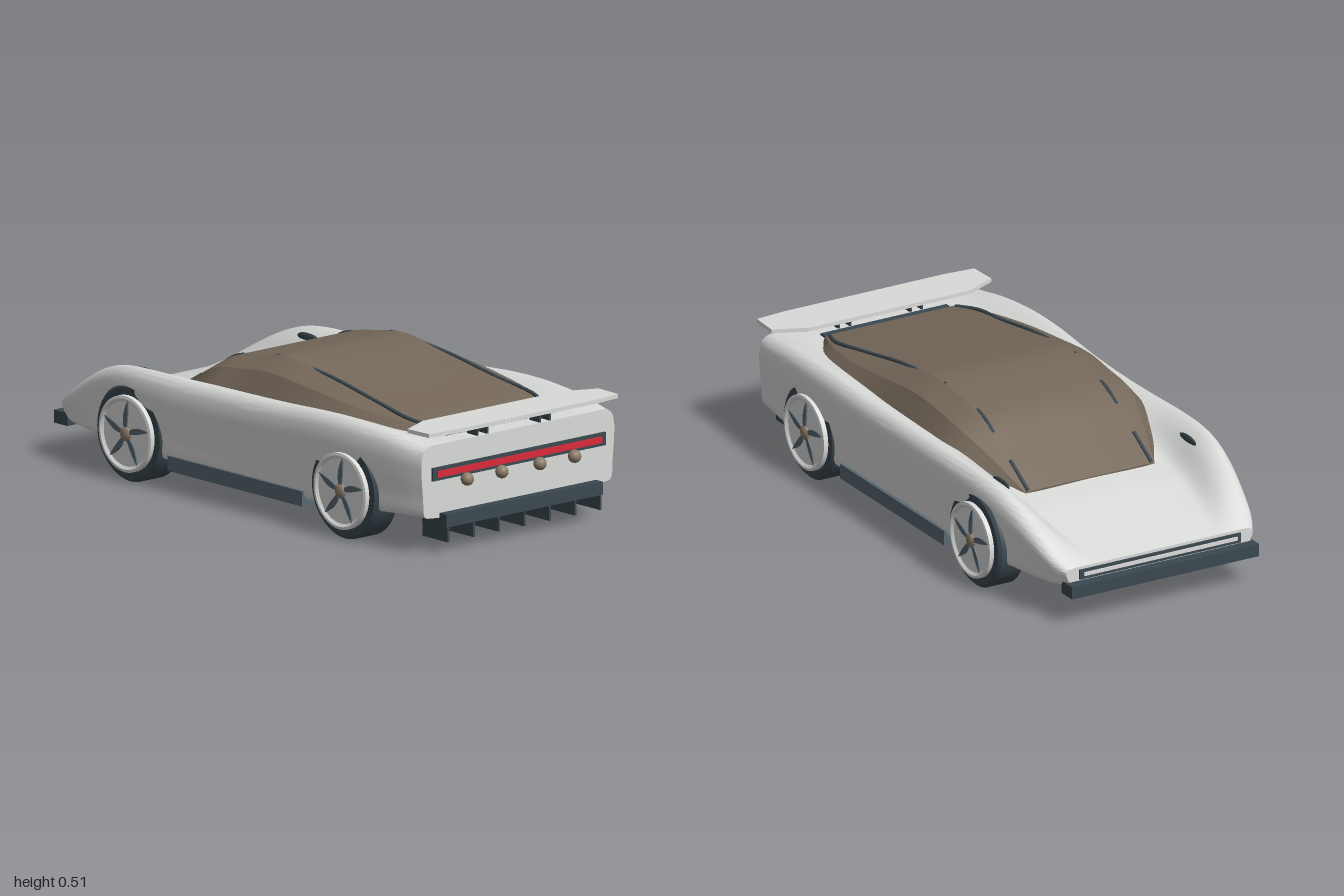
import * as THREE from 'three';
import { toCreasedNormals } from 'three/addons/utils/BufferGeometryUtils.js';

const mat = (name, color) => Object.assign(new THREE.MeshStandardMaterial({ color }), { name });

// Skins half-sections (bottom centre to top centre, at rising z), mirrored in x.
function loft(sections, steps, around, crease) {
  const rails = sections[0].map((_, j) =>
    new THREE.CatmullRomCurve3(sections.map((s) => s[j]), false, 'centripetal'));
  const pos = [], idx = [];
  let n = 0;
  for (let i = 0; i <= steps; i++) {
    let half = rails.map((r) => r.getPoint(i / steps));
    if (around) half = new THREE.CatmullRomCurve3(half, false, 'centripetal').getPoints(around);
    const mirror = half.slice(1, -1).reverse().map((p) => new THREE.Vector3(-p.x, p.y, p.z));
    const ring = [...half, ...mirror];
    n = ring.length;
    ring.forEach((p) => pos.push(p.x, p.y, p.z));
  }
  for (let i = 0; i < steps; i++) {
    for (let j = 0; j < n; j++) {
      const a = i * n + j, b = i * n + (j + 1) % n;
      idx.push(a, b, a + n, b, b + n, a + n);
    }
  }
  // End caps, as strips across the mirrored halves
  const h = n / 2, end = steps * n;
  for (let j = 0; j < h; j++) {
    const l = (n - j) % n, l2 = n - j - 1;
    idx.push(j, l, j + 1, l, l2, j + 1);
    idx.push(end + j, end + j + 1, end + l, end + l, end + j + 1, end + l2);
  }
  const g = new THREE.BufferGeometry();
  g.setAttribute('position', new THREE.Float32BufferAttribute(pos, 3));
  g.setIndex(idx);
  return toCreasedNormals(g, crease);
}

export function createModel() {
  const car = new THREE.Group();
  car.name = 'sportsCar';
  const white = mat('bodyWhite', 0xd9dbd9);
  const glass = mat('brownGlass', 0x75685a);
  const dark = mat('darkSlate', 0x3b4850);
  const slate = mat('skirtSlate', 0x586872);
  const red = mat('lightRed', 0xdc2a3a);
  const bronze = mat('bronze', 0x8c7b69);

  const add = (name, geo, material, parent = car) => {
    const m = new THREE.Mesh(geo, material);
    m.name = name;
    parent.add(m);
    return m;
  };
  const box = (name, material, [x0, x1], [y0, y1], [z0, z1]) => {
    const m = add(name, new THREE.BoxGeometry(x1 - x0, y1 - y0, z1 - z0), material);
    m.position.set((x0 + x1) / 2, (y0 + y1) / 2, (z0 + z1) / 2);
    return m;
  };
  const V = (x, y, z) => new THREE.Vector3(x, y, z);

  // Body: z, half width, floor, fender top, centre height
  const body = [
    [-0.96, 0.37, 0.14, 0.2, 0.192], [-0.9, 0.4, 0.128, 0.238, 0.208],
    [-0.8, 0.425, 0.122, 0.302, 0.232], [-0.7, 0.443, 0.12, 0.355, 0.255],
    [-0.6, 0.457, 0.115, 0.388, 0.278], [-0.5, 0.466, 0.11, 0.4, 0.293],
    [-0.35, 0.469, 0.1, 0.402, 0.325], [-0.18, 0.465, 0.09, 0.4, 0.36],
    [0, 0.462, 0.085, 0.4, 0.372], [0.22, 0.464, 0.085, 0.405, 0.375],
    [0.45, 0.47, 0.092, 0.418, 0.376], [0.62, 0.47, 0.105, 0.418, 0.378],
    [0.8, 0.46, 0.12, 0.405, 0.38], [0.9, 0.45, 0.125, 0.39, 0.38],
    [0.96, 0.44, 0.125, 0.383, 0.379],
  ].map(([z, w, b, t, c]) => {
    const h = t - b, d = t - c;
    return [[0, b], [w * 0.5, b], [w - 0.05, b + 0.015 * h], [w - 0.015, b + 0.05 * h],
      [w - 0.007, b + 0.3 * h], [w, b + 0.62 * h], [w, b + 0.8 * h], [w - 0.01, t - 0.07 * h],
      [w - 0.035, t], [w - 0.08, t - 0.2 * d], [w - 0.15, c + 0.12 * d], [w - 0.2, c], [0, c],
    ].map(([x, y]) => V(x, y, z));
  });
  add('body', loft(body, 70, 48, 0.7), white);

  // Canopy: z, roof height, roof half width, shoulder x and y, sill x and y
  const roof = [
    [-0.5, 0.297, 0.25, 0.257, 0.293, 0.262, 0.28], [-0.35, 0.385, 0.255, 0.3, 0.375, 0.335, 0.34],
    [-0.2, 0.468, 0.26, 0.34, 0.44, 0.388, 0.385], [-0.05, 0.5, 0.26, 0.342, 0.462, 0.394, 0.385],
    [0.08, 0.515, 0.265, 0.345, 0.472, 0.394, 0.385], [0.3, 0.485, 0.265, 0.345, 0.452, 0.394, 0.385],
    [0.5, 0.45, 0.27, 0.34, 0.43, 0.39, 0.385], [0.7, 0.42, 0.26, 0.305, 0.41, 0.35, 0.375],
    [0.82, 0.4, 0.25, 0.262, 0.395, 0.275, 0.37],
  ];
  add('canopy', loft(roof.map(([z, h, wt, wm, ym, wb, yb]) =>
    [V(0, yb, z), V(wb, yb, z), V(wm, ym, z), V(wt, h, z), V(0, h, z)]), 32, 0, 0.35), glass);
  const roofY = (z) => {
    const i = Math.max(1, roof.findIndex((r) => r[0] >= z));
    const [a, b] = [roof[i - 1], roof[i]];
    return a[1] + (b[1] - a[1]) * (z - a[0]) / (b[0] - a[0]);
  };

  for (const s of [-1, 1]) {
    // Dark trim lines along the canopy
    [[[0.245, -0.5], [0.245, -0.44], [0.245, -0.38]], [[0.245, -0.27], [0.245, -0.21], [0.245, -0.16]],
      [[0.258, 0.02], [0.264, 0.3], [0.272, 0.55], [0.28, 0.72], [0.25, 0.81]],
    ].forEach((line) => {
      const path = new THREE.CatmullRomCurve3(line.map(([x, z]) => V(s * x, roofY(z), z)));
      add('canopyTrim', new THREE.TubeGeometry(path, 24, 0.007, 8), dark);
    });
    // Fender slits
    const slit = add('fenderSlit', new THREE.SphereGeometry(1, 12, 8), dark);
    slit.scale.set(0.006, 0.016, 0.055);
    slit.position.set(s * 0.371, 0.368, -0.53);
    // Side skirts
    const skirt = s > 0 ? [0.41, 0.468] : [-0.468, -0.41];
    box('sideSkirt', slate, skirt, [0.077, 0.13], [-0.31, 0.38]);
    // Wing struts
    for (const x of [0.12, 0.165]) {
      box('wingStrut', dark, [s * x - 0.004, s * x + 0.004], [0.37, 0.426], [0.89, 0.94]);
    }
  }

  // Wheels
  const tyre = [[0, 0.362], [0.155, 0.362], [0.17, 0.37], [0.17, 0.458], [0.16, 0.468], [0.12, 0.468]];
  const rim = [[0.134, 0.44], [0.134, 0.485], [0.124, 0.487], [0.114, 0.479], [0, 0.479]];
  const turned = (pts) => toCreasedNormals(
    new THREE.LatheGeometry(pts.map(([x, y]) => new THREE.Vector2(x, y)), 48), 0.5).rotateZ(-Math.PI / 2);
  const blade = new THREE.Shape();
  blade.moveTo(-0.005, 0.018);
  blade.quadraticCurveTo(-0.022, 0.06, 0.012, 0.118);
  blade.quadraticCurveTo(0.016, 0.07, 0.005, 0.018);
  for (const side of [0, Math.PI]) {
    for (const z of [-0.51, 0.59]) {
      const wheel = new THREE.Group();
      wheel.name = 'wheel';
      wheel.position.set(0, 0.172, z);
      wheel.rotation.y = side;
      car.add(wheel);
      add('tyre', turned(tyre), dark, wheel);
      add('rim', turned(rim), white, wheel);
      for (let i = 0; i < 5; i++) {
        const g = new THREE.ExtrudeGeometry(blade, { depth: 0.006, bevelEnabled: false });
        g.rotateZ(i * Math.PI * 0.4).rotateY(Math.PI / 2);
        add('spoke', g, slate, wheel).position.x = 0.478;
      }
      const hub = add('hub', new THREE.SphereGeometry(0.026, 20, 12), bronze, wheel);
      hub.scale.x = 0.5;
      hub.position.x = 0.48;
      add('brakeDrum', turned([[0.05, 0.275], [0.06, 0.255], [0.085, 0.255], [0.104, 0.275], [0.104, 0.37]]),
        bronze, wheel);
      add('drumCentre', turned([[0, 0.27], [0.06, 0.27]]), dark, wheel);
    }
  }

  // Tail: light bar, round lamps, diffuser and fins
  box('lightPanel', dark, [-0.395, 0.395], [0.26, 0.306], [0.955, 0.968]);
  box('lightStrip', red, [-0.375, 0.375], [0.271, 0.294], [0.966, 0.972]);
  for (const x of [-0.245, -0.087, 0.087, 0.245]) {
    add('tailLamp', new THREE.SphereGeometry(0.023, 24, 16), bronze).position.set(x, 0.247, 0.976);
  }
  box('diffuser', dark, [-0.357, 0.357], [0.097, 0.143], [0.87, 0.995]);
  for (let i = -3; i <= 3; i++) {
    const x = i * 0.116;
    box('diffuserFin', dark, [x - 0.004, x + 0.004], [0.045, 0.1], [0.865, 0.995]);
  }
  box('deckVent', dark, [-0.25, 0.25], [0.37, 0.388], [0.82, 0.87]);

  // Wing with swept tips
  const plan = new THREE.Shape([[-0.32, 0.832], [0.32, 0.832], [0.437, 0.885], [0.432, 0.99],
    [0.32, 1], [-0.32, 1], [-0.432, 0.99], [-0.437, 0.885]].map(([x, y]) => new THREE.Vector2(x, y)));
  const wing = new THREE.ExtrudeGeometry(plan, { depth: 0.014, bevelEnabled: false }).rotateX(Math.PI / 2);
  add('wing', wing, white).position.y = 0.437;

  // Nose: bumper and slot
  box('noseBumper', dark, [-0.372, 0.372], [0.105, 0.15], [-1, -0.93]);
  box('noseSlot', dark, [-0.32, 0.32], [0.155, 0.19], [-0.967, -0.955]);
  box('noseStrip', white, [-0.305, 0.305], [0.167, 0.18], [-0.972, -0.965]);
  return car;
}
